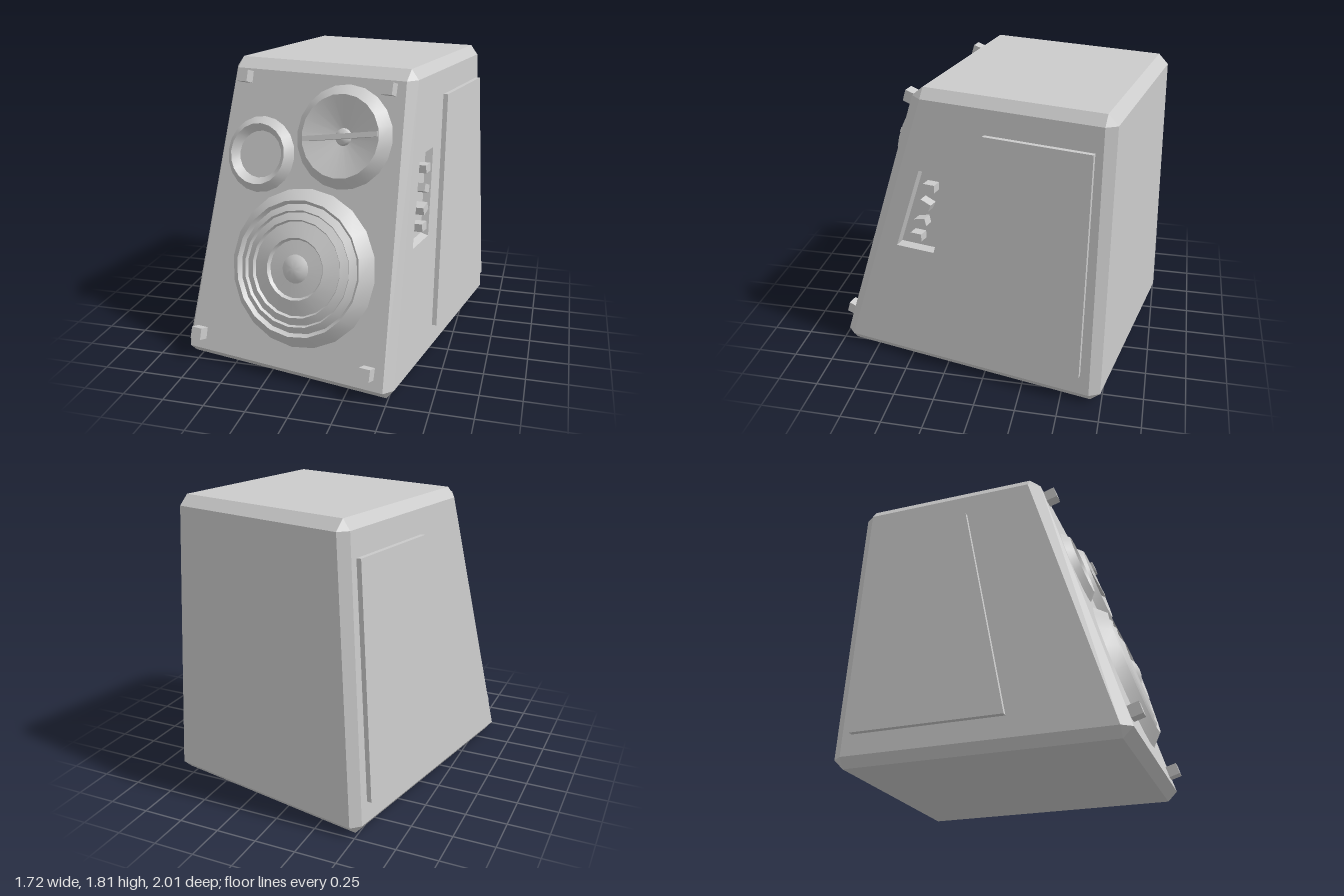
import * as THREE from 'three';
import { toCreasedNormals } from 'three/addons/utils/BufferGeometryUtils.js';

const grey = new THREE.MeshStandardMaterial({ color: 0xcccccc });
const greyFlat = new THREE.MeshStandardMaterial({ color: 0xcccccc, flatShading: true, side: THREE.DoubleSide });

function add(parent, name, geometry, x = 0, y = 0, z = 0, material = grey) {
  const mesh = new THREE.Mesh(geometry, material);
  mesh.name = name;
  mesh.position.set(x, y, z);
  parent.add(mesh);
  return mesh;
}

const BASE = 0.06, SHOULDER = 1.75;
const FRONT_TILT = Math.atan(0.515 / 1.69);
const SIDE_TILT = Math.atan(0.1 / 1.69);

// Eight-point outline: a = half width of front and back, s = half width at the sides
function ring(y, a, s, front, sideFront, sideBack, back) {
  const half = [[a, front], [s, sideFront], [s, sideBack], [a, back]];
  const mirrored = half.map(([x, z]) => [-x, z]).reverse();
  return [...half, ...mirrored].map(([x, z]) => [x, y, z]);
}

// Tapered, chamfered cabinet; the right wall is left open for a panel with a recess
function cabinetGeometry() {
  const rings = [
    ring(0, 0.66, 0.66, 0.8, 0.8, -0.83, -0.83),
    ring(BASE, 0.66, 0.705, 0.86, 0.8, -0.83, -0.89),
    ring(SHOULDER, 0.56, 0.605, 0.345, 0.275, -0.81, -0.87),
    ring(1.81, 0.56, 0.56, 0.275, 0.275, -0.81, -0.81),
  ];
  const pos = [];
  const quad = (a, b, c, d) => pos.push(...a, ...b, ...c, ...a, ...c, ...d);
  for (let k = 0; k < 3; k++) {
    for (let i = 0; i < 8; i++) {
      if (k === 1 && i === 1) continue;
      const j = (i + 1) % 8;
      quad(rings[k][i], rings[k][j], rings[k + 1][j], rings[k + 1][i]);
    }
  }
  const [bottom, top] = [rings[0], rings[3]];
  quad(top[0], top[3], top[4], top[7]);
  quad(bottom[7], bottom[4], bottom[3], bottom[0]);
  const g = new THREE.BufferGeometry();
  g.setAttribute('position', new THREE.Float32BufferAttribute(pos, 3));
  g.computeVertexNormals();
  return g;
}

// Round driver standing on the baffle, from [radius, height] points
function driver(parent, name, x, y, profile, sides) {
  const points = profile.map(([r, h]) => new THREE.Vector2(r, h));
  const lathe = new THREE.LatheGeometry(points, sides).rotateX(Math.PI / 2);
  return add(parent, name, toCreasedNormals(lathe, 0.5), x, (y - BASE) / Math.cos(FRONT_TILT), 0);
}

// Outline on a side wall from [depth, height] pairs
const sidePoints = (sign, pairs) =>
  pairs.map(([z, y]) => new THREE.Vector2(-sign * z, (y - BASE) / Math.cos(SIDE_TILT)));

function sideFrame(parent, sign) {
  const frame = new THREE.Group();
  frame.name = sign > 0 ? 'leftSide' : 'rightSide';
  frame.position.set(sign * 0.705, BASE, 0);
  frame.rotation.set(-SIDE_TILT, sign * Math.PI / 2, 0, 'YXZ');
  parent.add(frame);
  return frame;
}

export function createModel() {
  const model = new THREE.Group();
  model.name = 'loudspeaker';
  const speaker = new THREE.Group();
  speaker.name = 'turnedSpeaker';
  speaker.rotation.y = -0.2;
  model.add(speaker);

  add(speaker, 'cabinet', cabinetGeometry());

  // Front baffle parts
  const baffle = new THREE.Group();
  baffle.name = 'baffle';
  baffle.position.set(0, BASE, 0.86);
  baffle.rotation.x = -FRONT_TILT;
  speaker.add(baffle);

  driver(baffle, 'woofer', 0.05, 0.65, [
    [0.475, 0], [0.405, 0.07], [0.385, 0.048], [0.345, 0.075], [0.335, 0.058], [0.29, 0.08],
    [0.28, 0.062], [0.185, 0.09], [0.172, 0.07], [0.085, 0.078], [0.06, 0.095], [0.03, 0.104], [0, 0.107],
  ], 20);
  const horn = driver(baffle, 'horn', 0.215, 1.415, [
    [0.307, 0], [0.245, 0.06], [0.052, 0.004], [0.045, 0.022], [0.025, 0.034], [0, 0.038],
  ], 20);
  const bar = add(horn, 'hornBar', new THREE.BoxGeometry(0.48, 0.03, 0.03), 0, 0, 0.05);
  bar.rotation.z = 0.165;
  driver(baffle, 'port', -0.324, 1.26, [[0.232, 0], [0.185, 0.045], [0.143, 0.004], [0, 0.004]], 20);

  // Grille pegs
  for (const [x, y] of [[-0.48, 1.7], [0.473, 1.7], [-0.586, 0.156], [0.56, 0.156]]) {
    add(baffle, 'grillePeg', new THREE.BoxGeometry(0.07, 0.072, 0.08), x, (y - BASE) / Math.cos(FRONT_TILT), 0.03);
  }

  // Raised panels on both sides
  const panel = [[0.172, 0.19], [-0.77, 0.19], [-0.767, 1.6], [-0.125, 1.6]];
  const frames = [1, -1].map((sign) => {
    const frame = sideFrame(speaker, sign);
    const shape = new THREE.Shape(sidePoints(sign, panel));
    add(frame, 'sidePanel', new THREE.ExtrudeGeometry(shape, { depth: 0.03, bevelEnabled: false }));
    return frame;
  });

  // Wall with the control recess
  const controls = frames[0];
  const outline = sidePoints(1, [[0.8, BASE], [-0.83, BASE], [-0.81, SHOULDER], [0.275, SHOULDER]]);
  const opening = sidePoints(1, [[0.449, 0.795], [0.198, 0.795], [0.074, 1.315], [0.289, 1.315]]);
  const wall = new THREE.Shape(outline);
  wall.holes.push(new THREE.Path(opening));
  add(controls, 'sideWall', new THREE.ShapeGeometry(wall));

  // Recess floor and its four sloping walls
  const depth = 0.045;
  const centre = opening.reduce((c, p) => c.add(p), new THREE.Vector2()).divideScalar(4);
  const floor = opening.map((p) => p.clone().lerp(centre, 0.06));
  add(controls, 'recessFloor', new THREE.ShapeGeometry(new THREE.Shape(floor)), 0, 0, -depth);
  const pos = [];
  opening.forEach((p, i) => {
    const j = (i + 1) % 4;
    const [a, b] = [[p.x, p.y, 0], [opening[j].x, opening[j].y, 0]];
    const [c, d] = [[floor[j].x, floor[j].y, -depth], [floor[i].x, floor[i].y, -depth]];
    pos.push(...a, ...b, ...c, ...a, ...c, ...d);
  });
  const walls = new THREE.BufferGeometry();
  walls.setAttribute('position', new THREE.Float32BufferAttribute(pos, 3));
  walls.computeVertexNormals();
  add(controls, 'recessWalls', walls, 0, 0, 0, greyFlat);

  // Control knobs
  for (const [z, y, turn] of [[0.215, 1.225, 0], [0.245, 1.11, -0.4], [0.275, 0.992, 0.25], [0.305, 0.89, 0]]) {
    const knob = add(controls, 'controlKnob', new THREE.BoxGeometry(0.072, 0.048, 0.065), -z, y - BASE, -0.0125);
    knob.rotation.z = turn;
  }
  return model;
}
